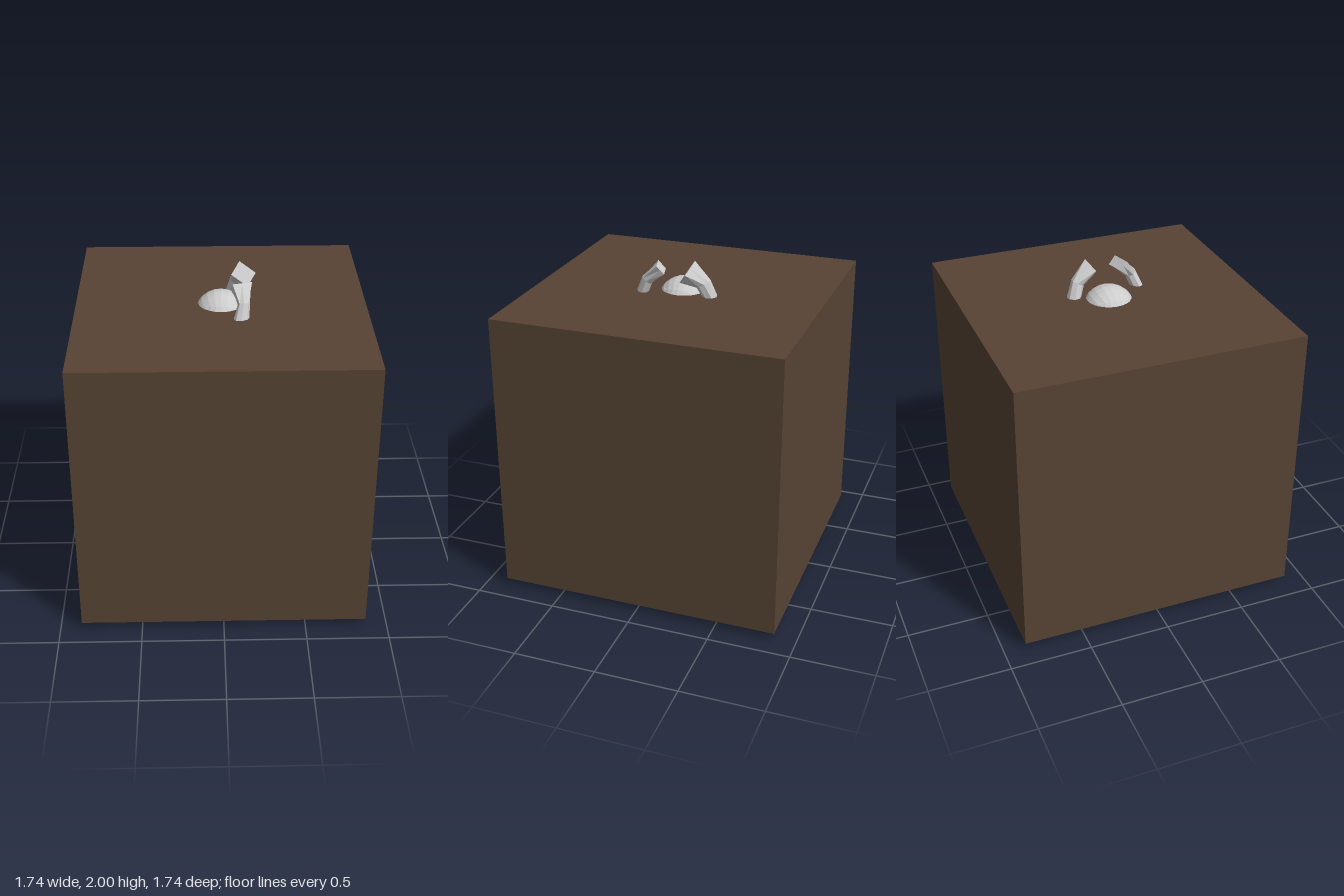
import * as THREE from 'three';

const crateBrown = new THREE.MeshStandardMaterial({ color: 0x574334 });
crateBrown.name = 'crateBrown';
const bodyGrey = new THREE.MeshStandardMaterial({ color: 0xcccccc, flatShading: true });
bodyGrey.name = 'bodyGrey';

const SIDES = 8;

// Limb skinned over rings; each ring has a centre, two half-axes and may be squared off
function limbGeometry(rings) {
  const pos = [], index = [];
  for (const { c, u, v, square } of rings) {
    for (let i = 0; i < SIDES; i++) {
      const a = (i / SIDES) * Math.PI * 2;
      const k = square ? Math.SQRT2 : 1;
      const s = THREE.MathUtils.clamp(Math.cos(a) * k, -1, 1);
      const t = THREE.MathUtils.clamp(Math.sin(a) * k, -1, 1);
      for (let j = 0; j < 3; j++) pos.push(c[j] + u[j] * s + v[j] * t);
    }
  }
  for (let r = 0; r < rings.length - 1; r++) {
    for (let i = 0; i < SIDES; i++) {
      const a = r * SIDES + i, b = r * SIDES + (i + 1) % SIDES;
      index.push(a, b, b + SIDES, a, b + SIDES, a + SIDES);
    }
  }
  // End caps
  const last = (rings.length - 1) * SIDES;
  for (let i = 1; i < SIDES - 1; i++) {
    index.push(0, i + 1, i, last, last + i, last + i + 1);
  }
  const g = new THREE.BufferGeometry();
  g.setAttribute('position', new THREE.Float32BufferAttribute(pos, 3));
  g.setIndex(index);
  g.computeVertexNormals();
  return g;
}

// Faceted head: a subdivided cube pushed out to a sphere
function headGeometry(radius) {
  const g = new THREE.BoxGeometry(1, 1, 1, 6, 6, 6);
  const p = g.attributes.position, v = new THREE.Vector3();
  for (let i = 0; i < p.count; i++) {
    v.fromBufferAttribute(p, i);
    v.set(Math.tan(v.x * Math.PI / 2), Math.tan(v.y * Math.PI / 2), Math.tan(v.z * Math.PI / 2));
    v.setLength(radius);
    p.setXYZ(i, v.x, v.y, v.z);
  }
  g.computeVertexNormals();
  return g;
}

// Shoe-sole outline in x and z, extruded upward from the ground
function footGeometry() {
  const outline = [
    [0.29, 0.035], [0.29, 0.13], [0.11, 0.12], [0.06, 0.155], [-0.02, 0.155],
    [-0.06, 0.12], [-0.06, 0.07], [-0.02, 0.035], [0.1, 0.045],
  ].map(([x, z]) => new THREE.Vector2(x, z));
  const g = new THREE.ExtrudeGeometry(new THREE.Shape(outline), { depth: 0.05, bevelEnabled: false });
  return g.rotateX(Math.PI / 2).translate(0, 0.05, 0);
}

export function createModel() {
  const model = new THREE.Group();
  model.name = 'cratedFigure';
  const add = (name, geometry, material, x = 0, y = 0, z = 0) => {
    const mesh = new THREE.Mesh(geometry, material);
    mesh.name = name;
    mesh.position.set(x, y, z);
    model.add(mesh);
    return mesh;
  };

  // Crate enclosing the figure
  add('crate', new THREE.BoxGeometry(1.74, 1.74, 1.74), crateBrown, 0, 0.91, 0);

  // Head showing through the lid
  add('head', headGeometry(0.165), bodyGrey, 0, 1.69, 0);

  // Raised arms, from shoulder to squared-off hand
  add('frontArm', limbGeometry([
    { c: [0.02, 1.45, 0.2], u: [-0.05, 0, 0], v: [0, 0, 0.045] },
    { c: [0.115, 1.77, 0.225], u: [-0.048, 0, 0.008], v: [0, 0.008, 0.036] },
    { c: [0.13, 1.855, 0.19], u: [-0.036, 0, 0.006], v: [0, 0.02, 0.03] },
    { c: [0.117, 1.937, 0.104], u: [-0.058, 0, 0.016], v: [0.006, 0.024, 0.022], square: true },
  ]), bodyGrey);
  add('backArm', limbGeometry([
    { c: [0.02, 1.45, -0.2], u: [0.05, 0, 0], v: [0, 0, -0.045] },
    { c: [0.08, 1.77, -0.195], u: [0.046, 0, 0.01], v: [0.01, 0, -0.044] },
    { c: [0.105, 1.86, -0.16], u: [0.042, -0.01, 0.015], v: [0.01, 0.02, -0.036] },
    { c: [0.137, 1.935, -0.068], u: [0.049, -0.032, 0.014], v: [0.025, 0.033, -0.026], square: true },
  ]), bodyGrey);

  // Torso hidden in the crate
  add('torso', new THREE.CylinderGeometry(0.2, 0.15, 0.75, SIDES), bodyGrey, 0, 1.15, 0);

  // Legs and feet, the feet pointing to +x
  const foot = footGeometry();
  const leg = new THREE.CylinderGeometry(0.07, 0.05, 0.8, SIDES);
  for (const [side, z] of [['front', 0], ['back', -0.19]]) {
    add(side + 'Foot', foot, bodyGrey, 0, 0, z);
    add(side + 'Leg', leg, bodyGrey, 0, 0.45, z + 0.095);
  }
  return model;
}
